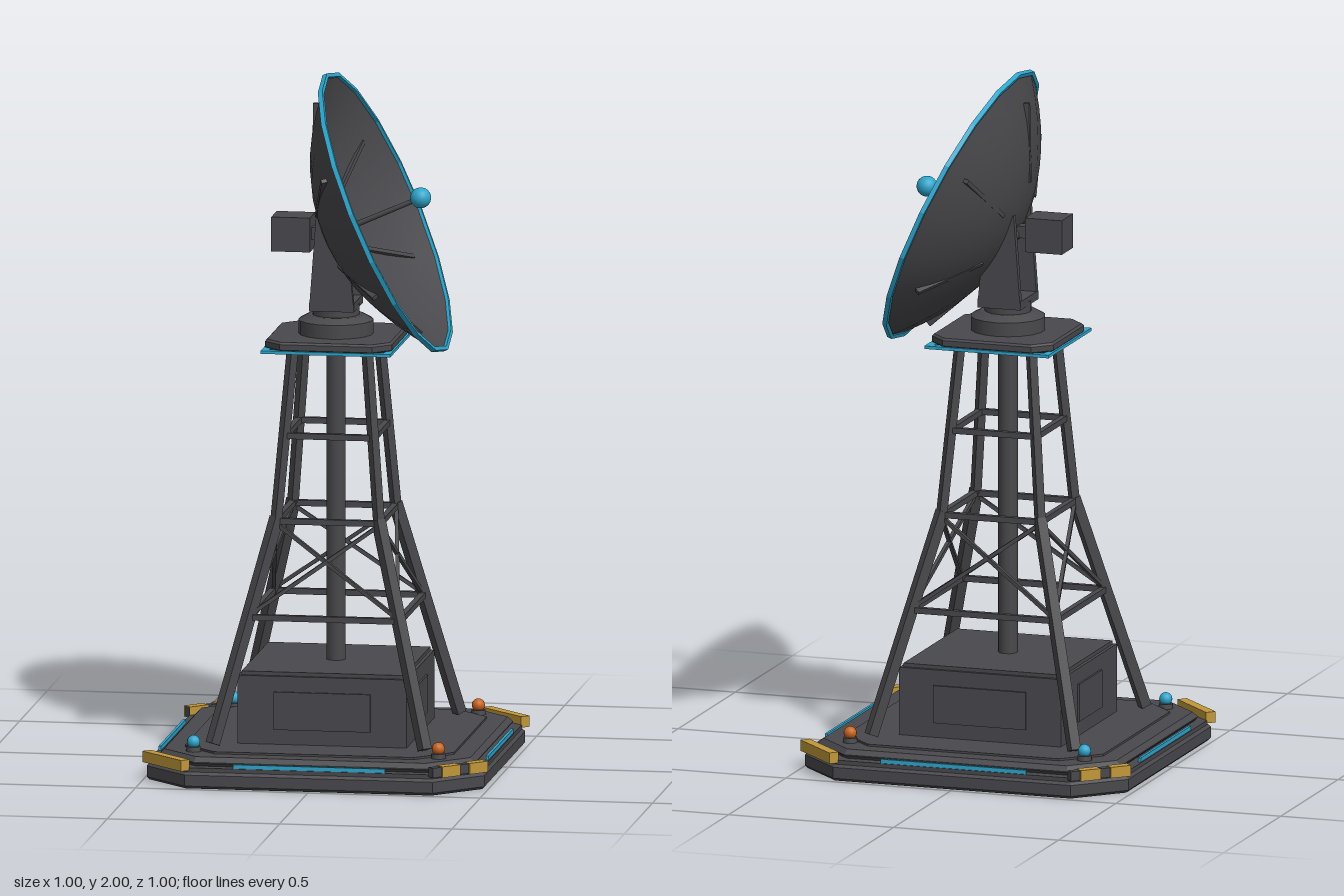
import * as THREE from 'three';

const mat = (name, color) => {
  const m = new THREE.MeshStandardMaterial({ color });
  m.name = name;
  return m;
};

export function createModel() {
  const steel = mat('dark steel', 0x49484c);
  const cyan = mat('cyan', 0x2fa5cc);
  const yellow = mat('hazard yellow', 0xc0973a);
  const orange = mat('lamp orange', 0xc8641e);

  const root = new THREE.Group();
  root.name = 'radarTower';

  const add = (name, geo, m, parent = root) => {
    const mesh = new THREE.Mesh(geo, m);
    mesh.name = name;
    parent.add(mesh);
    return mesh;
  };
  const box = (name, w, h, d, x, y, z, m = steel, parent = root) => {
    const b = add(name, new THREE.BoxGeometry(w, h, d), m, parent);
    b.position.set(x, y, z);
    return b;
  };
  const cyl = (name, r0, r1, y0, y1, sides, parent = root) => {
    const g = new THREE.CylinderGeometry(r1, r0, y1 - y0, sides);
    const c = add(name, g, steel, parent);
    c.position.y = (y0 + y1) / 2;
    return c;
  };
  // square beam from a to b
  const beam = (name, a, b, w, h = w, parent = root) => {
    const m = add(name, new THREE.BoxGeometry(w, h, a.distanceTo(b)), steel, parent);
    m.position.copy(a).add(b).multiplyScalar(0.5);
    m.quaternion.setFromRotationMatrix(
      new THREE.Matrix4().lookAt(b, a, new THREE.Vector3(0, 1, 0)));
    return m;
  };
  // square slab with cut corners and bevelled edges
  const slab = (name, half, cut, y0, y1, bevel) => {
    const s = new THREE.Shape();
    const k = half - cut;
    [[half, -k], [half, k], [k, half], [-k, half], [-half, k], [-half, -k], [-k, -half], [k, -half]]
      .forEach(([x, y], i) => (i ? s.lineTo(x, y) : s.moveTo(x, y)));
    const g = new THREE.ExtrudeGeometry(s, {
      depth: y1 - y0 - 2 * bevel, bevelEnabled: bevel > 0, bevelSegments: 1,
      bevelThickness: bevel, bevelSize: bevel, bevelOffset: -bevel,
    });
    g.rotateX(-Math.PI / 2).translate(0, y0 + bevel, 0);
    return add(name, g, steel);
  };
  const V = (x, y, z) => new THREE.Vector3(x, y, z);
  const corners = [[1, 1], [1, -1], [-1, -1], [-1, 1]];

  // stepped base
  slab('baseFoot', 0.49, 0.13, 0, 0.048, 0.008);
  slab('baseLedge', 0.482, 0.128, 0.046, 0.06, 0);
  slab('baseDeck', 0.458, 0.12, 0.055, 0.086, 0.014);
  slab('baseInnerPlate', 0.39, 0.1, 0.08, 0.092, 0);

  // light strips along the base sides
  for (const s of [-1, 1]) {
    box('baseLightStrip', 0.44, 0.012, 0.008, 0, 0.066, s * 0.475, cyan);
    box('baseLightStrip', 0.008, 0.012, 0.44, s * 0.475, 0.066, 0, cyan);
  }

  // corner guards, two plain and two striped, and corner lamps
  for (const [sx, sz] of corners) {
    const guard = new THREE.Group();
    guard.name = 'cornerGuard';
    guard.position.set(sx * 0.424, 0.068, sz * 0.424);
    guard.rotation.y = Math.atan2(sx, sz);
    root.add(guard);
    if (sx === sz) {
      box('guardBar', 0.19, 0.028, 0.022, 0, 0, -0.002, steel, guard);
      box('guardStripe', 0.064, 0.032, 0.03, 0.062, 0, 0, yellow, guard);
      box('guardStripe', 0.064, 0.032, 0.03, -0.034, 0, 0, yellow, guard);
    } else {
      box('guardPlate', 0.19, 0.032, 0.03, 0, 0, 0, yellow, guard);
    }
    const socket = cyl('lampSocket', 0.022, 0.02, 0.084, 0.1, 12);
    socket.position.x = sx * 0.355;
    socket.position.z = sz * 0.355;
    const lamp = add('cornerLamp', new THREE.SphereGeometry(0.019, 14, 10), sx > 0 ? orange : cyan);
    lamp.position.set(sx * 0.355, 0.113, sz * 0.355);
  }

  // equipment cabin with a panel on each side
  box('equipmentCabin', 0.49, 0.2, 0.49, 0, 0.19, 0);
  box('cabinRoof', 0.47, 0.012, 0.47, 0, 0.295, 0);
  for (let i = 0; i < 4; i++) {
    const side = new THREE.Group();
    side.name = 'cabinSide';
    side.rotation.y = i * Math.PI / 2;
    root.add(side);
    box('cabinPanel', i % 2 ? 0.2 : 0.28, 0.11, 0.008, 0, 0.19, 0.247, steel, side);
  }

  // mast and bent lattice legs
  cyl('mast', 0.028, 0.028, 0.29, 1.23, 10);
  const halfAt = (y) => (y < 0.73
    ? THREE.MathUtils.mapLinear(y, 0.11, 0.73, 0.305, 0.148)
    : THREE.MathUtils.mapLinear(y, 0.73, 1.22, 0.148, 0.108));
  const onLeg = ([sx, sz], y) => V(sx * halfAt(y), y, sz * halfAt(y));
  corners.forEach((c, i) => {
    const n = corners[(i + 1) % 4];
    beam('lowerLeg', onLeg(c, 0.1), onLeg(c, 0.735), 0.03);
    beam('upperLeg', onLeg(c, 0.725), onLeg(c, 1.225), 0.024);
    for (const y of [0.455, 0.725, 0.97]) beam('crossBar', onLeg(c, y), onLeg(n, y), 0.017);
    beam('diagonalBrace', onLeg(c, 0.46), onLeg(n, 0.72), 0.011);
    beam('diagonalBrace', onLeg(n, 0.46), onLeg(c, 0.72), 0.011);
  });

  // top platform with a light frame
  slab('topPlatform', 0.184, 0.05, 1.222, 1.25, 0.006);
  for (const s of [-1, 1]) {
    box('platformLightFrame', 0.376, 0.009, 0.022, 0, 1.221, s * 0.177, cyan);
    box('platformLightFrame', 0.022, 0.009, 0.332, s * 0.177, 1.221, 0, cyan);
  }

  // turntable and yoke
  cyl('turntable', 0.108, 0.108, 1.245, 1.29, 18);
  cyl('turntableCap', 0.108, 0.08, 1.29, 1.305, 18);
  cyl('turntableNeck', 0.068, 0.068, 1.3, 1.335, 16);
  box('yokeBase', 0.13, 0.025, 0.16, 0, 1.337, 0);
  const arm = new THREE.Shape([[-0.065, 1.33], [0.065, 1.33], [0.04, 1.58], [0.0, 1.62], [-0.045, 1.6]]
    .map(([x, y]) => new THREE.Vector2(x, y)));
  for (const s of [-1, 1]) {
    const g = new THREE.ExtrudeGeometry(arm, { depth: 0.018, bevelEnabled: false });
    add('yokeArm', g, steel).position.z = s * 0.072 - 0.009;
  }
  const axle = add('yokeAxle', new THREE.CylinderGeometry(0.02, 0.02, 0.16, 12), steel);
  axle.rotation.x = Math.PI / 2;
  axle.position.set(-0.02, 1.53, 0);

  // counterweight behind the dish
  box('counterweight', 0.112, 0.1, 0.098, -0.124, 1.54, 0);
  box('counterweightArm', 0.1, 0.035, 0.035, -0.04, 1.54, 0);

  // dish, built along its own axis and then tilted
  const dish = new THREE.Group();
  dish.name = 'dish';
  dish.position.set(0.145, 1.605, 0);
  dish.rotation.z = -THREE.MathUtils.degToRad(66.1);
  root.add(dish);
  const R = 0.428;
  const bowl = (r, depth) => -depth * (1 - (r / R) ** 2);
  const curve = (depth) => Array.from({ length: 9 }, (_, i) =>
    new THREE.Vector2(R * i / 8, bowl(R * i / 8, depth)));
  const lathe = (pts) => new THREE.LatheGeometry(pts, 18, Math.PI / 2);
  add('dishBack', lathe(curve(0.185)), steel, dish);
  add('dishFace', lathe(curve(0.165).reverse()), steel, dish);
  const rim = lathe([[0.422, -0.009], [0.434, -0.009], [0.434, 0.005], [0.422, 0.005], [0.422, -0.009]]
    .map(([x, y]) => new THREE.Vector2(x, y))).toNonIndexed();
  rim.computeVertexNormals();
  add('dishRim', rim, cyan, dish);

  // straight ribs that break through the curved bowl
  for (let i = 0; i < 6; i++) {
    const a = Math.PI + i * Math.PI / 3;
    const at = (r) => V(r * Math.cos(a), bowl(r, 0.165) - 0.01, r * Math.sin(a));
    beam('dishRib', at(0.155), at(0.365), 0.012, 0.024, dish);
  }

  // feed horn
  cyl('feedCollar', 0.026, 0.02, -0.17, -0.145, 12, dish);
  cyl('feedRod', 0.009, 0.007, -0.165, 0.1, 10, dish);
  add('feedTip', new THREE.SphereGeometry(0.03, 18, 12), cyan, dish).position.y = 0.11;

  return root;
}
